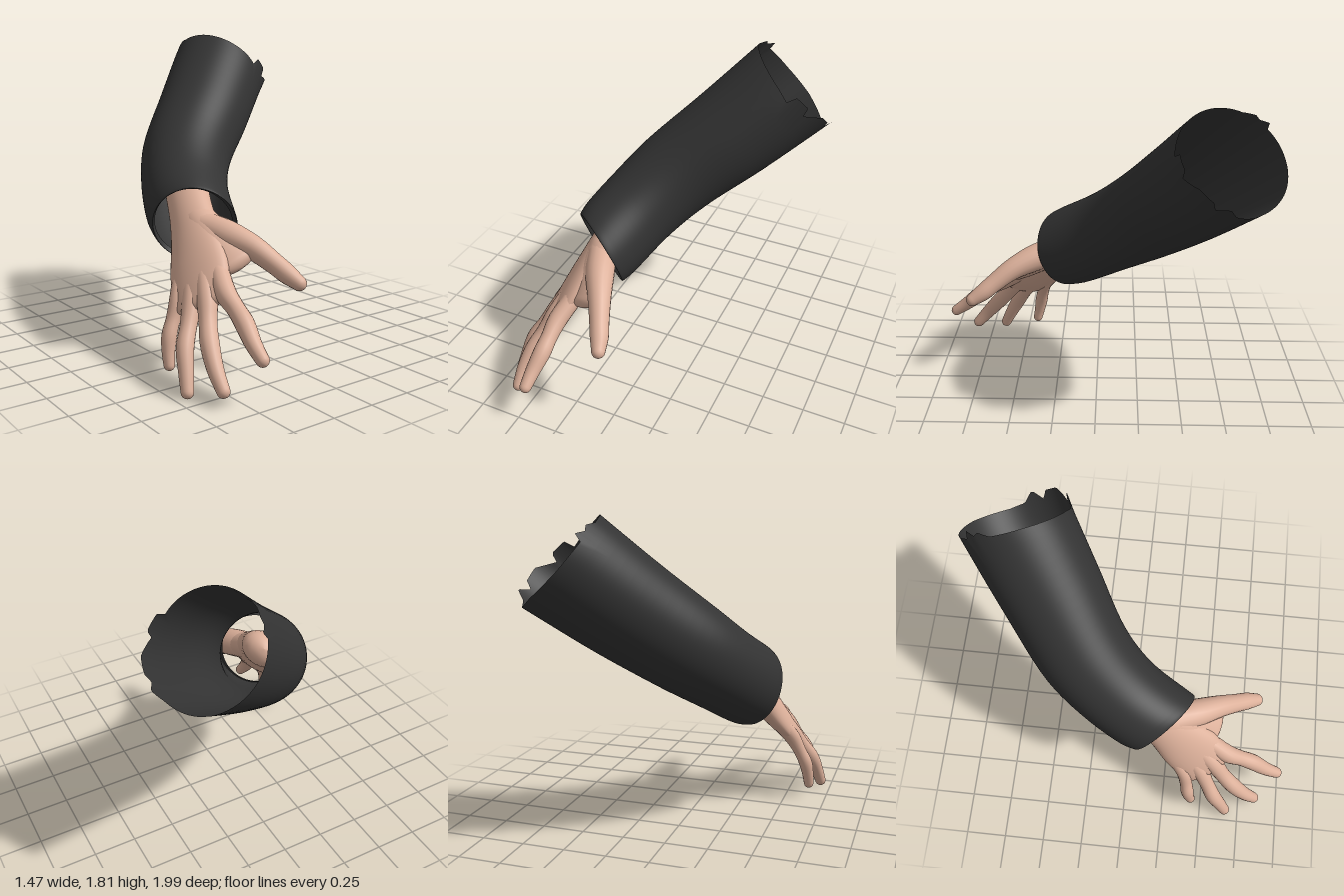
import * as THREE from 'three';

const V = (a) => new THREE.Vector3(a[0], a[1], a[2]);
const ACROSS = V([-0.41, -0.25, -0.88]).normalize(); // index side to little finger side
const WEB_ACROSS = V([0.75, 0.6, -0.2]).normalize(); // index finger to thumb

// Skin a list of rings {c, t, ref, w, h}; shift(angle, ring) moves points along t
function skin(rings, segs, shift = () => 0) {
  const pos = [], idx = [];
  rings.forEach((r, i) => {
    const t = r.t.clone().normalize();
    const e1 = r.ref.clone().addScaledVector(t, -r.ref.dot(t)).normalize();
    const e2 = t.clone().cross(e1);
    for (let j = 0; j < segs; j++) {
      const a = (j / segs) * Math.PI * 2;
      const p = r.c.clone()
        .addScaledVector(e1, Math.cos(a) * r.w)
        .addScaledVector(e2, Math.sin(a) * r.h)
        .addScaledVector(t, shift(a, i));
      pos.push(p.x, p.y, p.z);
      if (i < rings.length - 1) {
        const k = (j + 1) % segs, b = i * segs, n = b + segs;
        idx.push(b + j, b + k, n + j, b + k, n + k, n + j);
      }
    }
  });
  const g = new THREE.BufferGeometry();
  g.setAttribute('position', new THREE.Float32BufferAttribute(pos, 3));
  g.setIndex(idx);
  g.computeVertexNormals();
  return g;
}

// Rounded limb through sections [x, y, z, halfWidth, halfThickness]
function limb(sections, steps, segs, ref = ACROSS) {
  const path = new THREE.CatmullRomCurve3(sections.map(V), false, 'centripetal');
  const size = new THREE.CatmullRomCurve3(sections.map((s) => V([s[3], s[4] ?? s[3], 0])), false, 'catmullrom');
  const rings = [];
  const add = (u, push, scale) => {
    const t = path.getTangent(u), s = size.getPoint(u);
    rings.push({ c: path.getPoint(u).addScaledVector(t, push * s.y), t, ref, w: s.x * scale, h: s.y * scale });
  };
  for (let k = 5; k >= 1; k--) add(0, -Math.sin(k * Math.PI / 10), Math.max(Math.cos(k * Math.PI / 10), 0.001));
  for (let i = 0; i <= steps; i++) add(i / steps, 0, 1);
  for (let k = 1; k <= 5; k++) add(1, Math.sin(k * Math.PI / 10), Math.max(Math.cos(k * Math.PI / 10), 0.001));
  return skin(rings, segs);
}

// Torn edge of the sleeve: [degrees from the top, offset]
const TEAR = [[0, 0], [60, -0.01], [75, -0.02], [78, 0.04], [95, 0.05], [99, 0], [118, 0.07], [136, 0.06],
  [140, 0.01], [152, 0.07], [163, 0.01], [180, 0], [225, 0.01], [265, 0], [300, 0], [303, 0.045],
  [312, 0.015], [318, 0.03], [330, 0], [360, 0]];
function tear(a) {
  const d = THREE.MathUtils.radToDeg(a);
  const i = Math.max(1, TEAR.findIndex((p) => p[0] >= d));
  const [a0, o0] = TEAR[i - 1], [a1, o1] = TEAR[i];
  return o0 + (o1 - o0) * (d - a0) / (a1 - a0);
}

function sleeveGeometry() {
  // centre, ring normal, radius, from cuff to torn end
  const rows = [
    [[-0.325, 0.77, 0.185], [0.59, 0.35, -0.73], 0.215],
    [[-0.335, 0.76, 0.213], [0.59, 0.35, -0.73], 0.234],
    [[-0.31, 0.795, 0.135], [0.57, 0.42, -0.7], 0.249],
    [[-0.21, 0.925, -0.08], [0.53, 0.54, -0.65], 0.252],
    [[-0.07, 1.075, -0.27], [0.56, 0.6, -0.57], 0.268],
    [[0.2, 1.315, -0.485], [0.63, 0.62, -0.46], 0.29],
    [[0.48, 1.58, -0.7], [0.68, 0.66, -0.32], 0.31],
  ];
  const centre = new THREE.CatmullRomCurve3(rows.map((r) => V(r[0])), false, 'centripetal');
  const normal = new THREE.CatmullRomCurve3(rows.map((r) => V(r[1])), false, 'catmullrom');
  const radius = new THREE.CatmullRomCurve3(rows.map((r) => V([r[2], 0, 0])), false, 'catmullrom');
  const n = 36, rings = [];
  for (let i = 0; i <= n; i++) {
    const r = radius.getPoint(i / n).x;
    rings.push({ c: centre.getPoint(i / n), t: normal.getPoint(i / n), ref: V([0, 1, 0]), w: r, h: r });
  }
  return skin(rings, 120, (a, i) => (i === n ? tear(a) : 0));
}

export function createModel() {
  const cloth = new THREE.MeshStandardMaterial({ color: 0x333333, side: THREE.DoubleSide });
  cloth.name = 'charcoal cloth';
  const skinTone = new THREE.MeshStandardMaterial({ color: 0xdcb09a });
  skinTone.name = 'skin';

  const model = new THREE.Group();
  model.name = 'sleevedArm';
  const hand = new THREE.Group();
  hand.name = 'hand';
  const add = (parent, name, geo, mat) => {
    const m = new THREE.Mesh(geo, mat);
    m.name = name;
    parent.add(m);
  };

  add(model, 'sleeve', sleeveGeometry(), cloth);

  // Wrist and palm
  add(hand, 'palm', limb([
    [-0.21, 0.97, -0.08, 0.13, 0.1],
    [-0.3, 0.82, 0.12, 0.13, 0.095],
    [-0.36, 0.69, 0.26, 0.152, 0.088],
    [-0.42, 0.57, 0.375, 0.175, 0.075],
    [-0.46, 0.49, 0.45, 0.172, 0.064],
    [-0.495, 0.425, 0.51, 0.158, 0.05],
  ], 30, 36), skinTone);

  // Digits: base, knuckle, joints and tip with radii
  const digits = {
    indexFinger: [[-0.38, 0.57, 0.5, 0.055], [-0.42, 0.485, 0.62, 0.056], [-0.425, 0.43, 0.71, 0.048],
      [-0.43, 0.375, 0.79, 0.051], [-0.445, 0.3, 0.88, 0.043], [-0.45, 0.242, 0.96, 0.035]],
    middleFinger: [[-0.43, 0.55, 0.45, 0.055], [-0.48, 0.45, 0.54, 0.056], [-0.525, 0.35, 0.61, 0.048],
      [-0.565, 0.26, 0.685, 0.05], [-0.59, 0.16, 0.77, 0.043], [-0.595, 0.08, 0.84, 0.035]],
    ringFinger: [[-0.46, 0.53, 0.38, 0.053], [-0.52, 0.42, 0.46, 0.054], [-0.58, 0.32, 0.515, 0.045],
      [-0.635, 0.225, 0.565, 0.047], [-0.665, 0.12, 0.62, 0.04], [-0.685, 0.036, 0.66, 0.034]],
    littleFinger: [[-0.48, 0.51, 0.3, 0.05], [-0.545, 0.41, 0.365, 0.048], [-0.59, 0.32, 0.385, 0.039],
      [-0.625, 0.24, 0.4, 0.041], [-0.64, 0.16, 0.415, 0.035], [-0.645, 0.095, 0.43, 0.03]],
    thumb: [[-0.31, 0.76, 0.25, 0.085], [-0.25, 0.725, 0.39, 0.085], [-0.18, 0.675, 0.53, 0.068],
      [-0.125, 0.605, 0.64, 0.057], [-0.09, 0.555, 0.71, 0.053], [-0.063, 0.515, 0.775, 0.04]],
  };
  for (const [name, pts] of Object.entries(digits)) add(hand, name, limb(pts, 24, 18), skinTone);

  // Flesh between thumb and index finger
  add(hand, 'thumbWeb', limb([
    [-0.31, 0.78, 0.22, 0.1, 0.085], [-0.3, 0.71, 0.34, 0.115, 0.08],
    [-0.285, 0.65, 0.44, 0.125, 0.064], [-0.278, 0.608, 0.515, 0.125, 0.048],
  ], 16, 28, WEB_ACROSS), skinTone);

  model.add(hand);
  return model;
}
